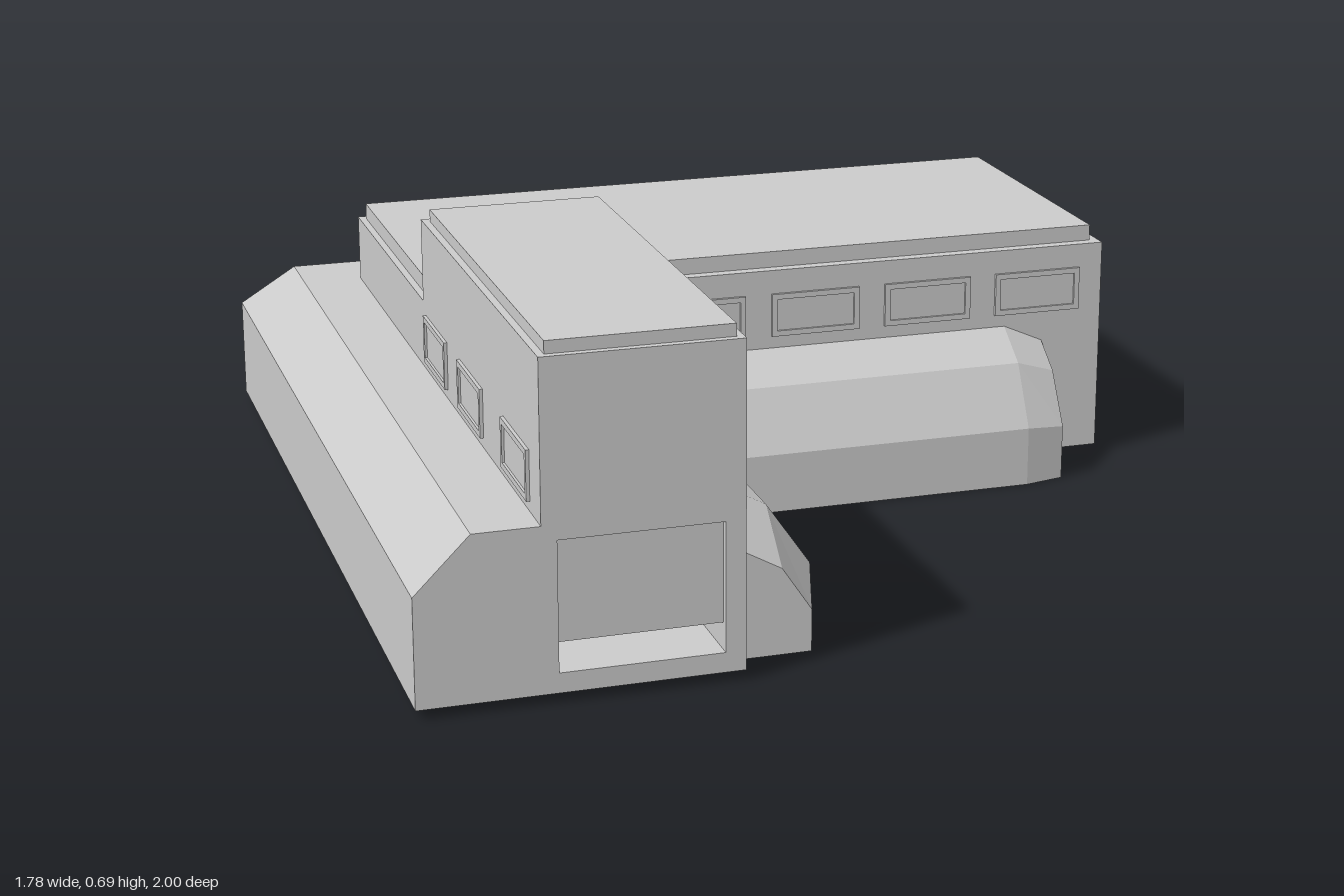
import * as THREE from 'three';

const mat = new THREE.MeshStandardMaterial({ color: 0xcccccc, flatShading: true, side: THREE.DoubleSide });

function mesh(name, geometry) {
  const m = new THREE.Mesh(geometry, mat);
  m.name = name;
  return m;
}

// Flat sheets: each polygon is a convex loop of [x, y, z] corners
function sheets(name, polygons) {
  const pos = [];
  for (const p of polygons)
    for (let i = 1; i < p.length - 1; i++) pos.push(...p[0], ...p[i], ...p[i + 1]);
  const g = new THREE.BufferGeometry();
  g.setAttribute('position', new THREE.Float32BufferAttribute(pos, 3));
  g.computeVertexNormals();
  return mesh(name, g);
}

// Quads joining neighbouring cross-sections
function strips(sections, closed = false) {
  const quads = [];
  for (let s = 0; s < sections.length - 1; s++) {
    const a = sections[s], b = sections[s + 1], n = a.length;
    for (let i = 0; i < (closed ? n : n - 1); i++) {
      const j = (i + 1) % n;
      quads.push([a[i], a[j], b[j], b[i]]);
    }
  }
  return quads;
}

const rect = (x0, x1, z0, z1, y) => [[x0, y, z0], [x0, y, z1], [x1, y, z1], [x1, y, z0]];
const wallX = (x, z0, z1, y0, y1) => [[x, y0, z0], [x, y0, z1], [x, y1, z1], [x, y1, z0]];
const wallZ = (z, x0, x1, y0, y1) => [[x0, y0, z], [x1, y0, z], [x1, y1, z], [x0, y1, z]];

// Raised flat roof with a narrow rim around it
function roof(name, outer, inner, y0, y1) {
  const top = rect(...inner, y1);
  return sheets(name, [...strips([rect(...outer, y0), rect(...inner, y0), top], true), top]);
}

// Rectangle outline, used for walls with an opening and window frames
function framed(x0, x1, y0, y1, hx0, hx1, hy0, hy1) {
  const loop = (a, b, c, d) => [[a, c], [b, c], [b, d], [a, d]].map(p => new THREE.Vector2(...p));
  const shape = new THREE.Shape(loop(x0, x1, y0, y1));
  shape.holes.push(new THREE.Path(loop(hx0, hx1, hy0, hy1).reverse()));
  return shape;
}

// Gable end with a loading bay and a partly raised door; faces local +z
function loadingEnd(name, x0, x1, top, half) {
  const g = new THREE.Group();
  g.name = name;
  const lo = 0.07, hi = 0.33, depth = 0.3;
  g.add(mesh('endWall', new THREE.ShapeGeometry(framed(x0, x1, 0.03, top, -half, half, lo, hi))));
  const back = wallZ(-depth, -half, half, lo, hi);
  g.add(sheets('loadingBay', [...strips([wallZ(0, -half, half, lo, hi), back], true), back]));
  g.add(sheets('raisedDoor', [wallZ(-0.015, -half, half, 0.125, hi)]));
  return g;
}

// Window: thin frame with a pane, facing local +z
function windowUnit(w, h) {
  const g = new THREE.Group();
  g.name = 'window';
  const t = 0.012;
  g.add(mesh('windowFrame', new THREE.ExtrudeGeometry(
    framed(-w / 2, w / 2, -h / 2, h / 2, -w / 2 + t, w / 2 - t, -h / 2 + t, h / 2 - t),
    { depth: 0.007, bevelEnabled: false })));
  const pane = mesh('windowPane', new THREE.PlaneGeometry(w - 2 * t, h - 2 * t));
  pane.position.z = 0.002;
  g.add(pane);
  return g;
}

export function createModel() {
  const model = new THREE.Group();
  model.name = 'lShapedBuilding';

  // Tall front wing
  model.add(sheets('frontWingWalls', [
    wallX(-0.26, 0.01, 1, 0.03, 0.68),
    wallX(-0.65, 0.01, 1, 0.36, 0.68),
    wallZ(0.01, -0.65, -0.26, 0.505, 0.68),
  ]));
  model.add(roof('frontWingRoof', [-0.65, -0.26, 0.01, 1], [-0.635, -0.275, 0.03, 0.985], 0.68, 0.705));
  const frontEnd = loadingEnd('frontWingEnd', -0.19, 0.2, 0.68, 0.16);
  frontEnd.position.set(-0.46, 0, 1);
  model.add(frontEnd);

  // Long rear wing
  model.add(sheets('rearWingWalls', [
    wallZ(0.01, -0.26, 0.89, 0.03, 0.505),
    wallZ(-0.7, -0.65, 0.89, 0.36, 0.505),
    wallX(-0.65, -0.7, 0.01, 0.36, 0.505),
  ]));
  model.add(roof('rearWingRoof', [-0.65, 0.89, -0.7, 0.01], [-0.635, 0.87, -0.68, -0.015], 0.505, 0.54));
  const rearEnd = loadingEnd('rearWingEnd', -0.35, 0.36, 0.505, 0.23);
  rearEnd.rotation.y = Math.PI / 2;
  rearEnd.position.set(0.89, 0, -0.34);
  model.add(rearEnd);

  // Outer lean-to along the back and left, with a clipped corner
  const rearSection = x => [[x, 0.03, -1], [x, 0.25, -1], [x, 0.36, -0.84], [x, 0.36, -0.7]];
  const sideSection = (z, zTop, zIn) =>
    [[-0.89, 0.03, z], [-0.89, 0.25, z], [-0.78, 0.36, zTop], [-0.65, 0.36, zIn]];
  const outer = [rearSection(0.885), rearSection(-0.65), sideSection(-0.95, -0.84, -0.7), sideSection(1, 1, 1)];
  model.add(sheets('outerLeanTo', [
    ...strips(outer),
    [...outer[0], [0.885, 0.03, -0.7]],
    [...outer[3], [-0.65, 0.03, 1]],
  ]));

  // Inner rounded lean-tos with tapered ends, crossing in the courtyard corner
  const full = [[0.2, 0.01], [0.2, 0.14], [0.11, 0.27], [0, 0.33]];
  const small = [[0.15, 0.025], [0.15, 0.11], [0.09, 0.2], [0, 0.25]];
  const smallB = [[0.174, 0.01], [0.174, 0.13], [0.09, 0.24], [0, 0.29]];
  function innerLeanTo(name, profiles, stations, place) {
    const sections = profiles.map((p, i) => p.map(([o, y]) => place(o, y, stations[i])));
    const cap = i => [...sections[i], place(0, profiles[i][0][1], stations[i])];
    model.add(sheets(name, [...strips(sections), cap(0), cap(2)]));
  }
  innerLeanTo('frontWingLeanTo', [small, full, full], [0.94, 0.78, -0.19],
    (o, y, s) => [-0.26 + o, y, s]);
  innerLeanTo('rearWingLeanTo', [smallB, full, full], [0.75, 0.66, -0.28],
    (o, y, s) => [s, y, 0.01 + o * 0.775]);

  // Windows
  function addWindow(x, y, z, turn, w, h) {
    const win = windowUnit(w, h);
    win.position.set(x, y, z);
    win.rotation.y = turn;
    model.add(win);
  }
  for (let i = 0; i < 4; i++) addWindow(-0.045 + i * 0.26, 0.405, 0.01, 0, 0.2, 0.095);
  for (const z of [0.26, 0.74]) addWindow(-0.26, 0.6, z, Math.PI / 2, 0.2, 0.085);
  for (const z of [0.135, 0.45, 0.82]) addWindow(-0.65, 0.43, z, -Math.PI / 2, 0.2, 0.1);

  return model;
}
